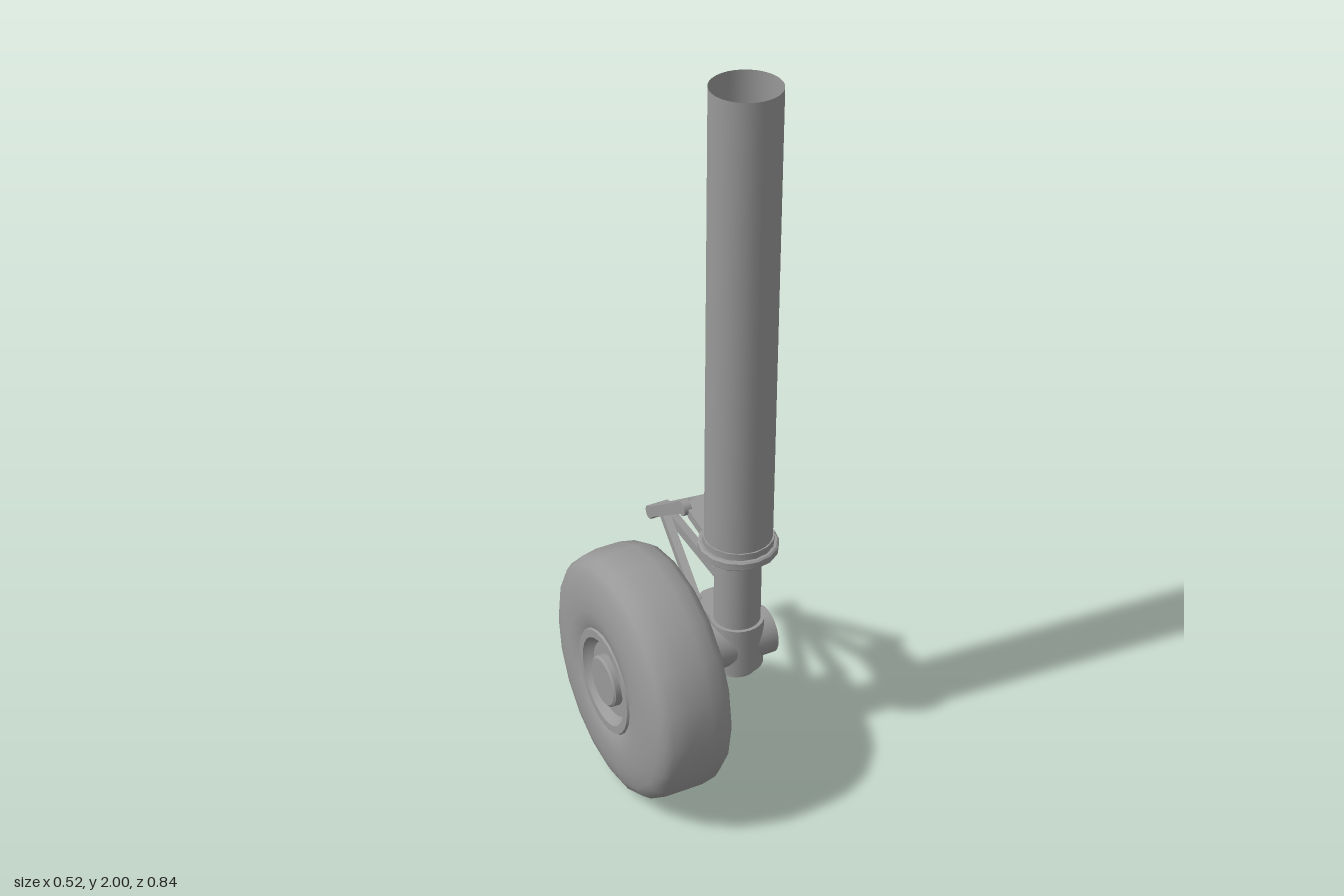
import * as THREE from 'three';
import { toCreasedNormals } from 'three/addons/utils/BufferGeometryUtils.js';

const SX = 0.15, SZ = 0.074; // strut axis
const WX = -0.137, WY = 0.346; // wheel centre
const GREY = 0x999999;

export function createModel() {
  const root = new THREE.Group();
  const mat = new THREE.MeshStandardMaterial({ color: GREY });
  const open = new THREE.MeshStandardMaterial({ color: GREY, side: THREE.DoubleSide });

  const add = (name, geo, parent = root, material = mat) => {
    const m = new THREE.Mesh(geo, material);
    m.name = name;
    parent.add(m);
    return m;
  };
  const lathe = (pts, seg, crease = 0.6) =>
    toCreasedNormals(new THREE.LatheGeometry(pts.map(p => new THREE.Vector2(...p)), seg), crease);
  // both faces of a wheel profile given from the inside outwards
  const mirrored = half => [...half.map(([r, y]) => [r, -y]), ...half.slice().reverse()];
  // upright cylinder on the strut axis
  const post = (name, r, y0, y1) =>
    add(name, new THREE.CylinderGeometry(r, r, y1 - y0, 28)).position.set(SX, (y0 + y1) / 2, SZ);
  // cylinder lying along x
  const pin = (name, r, x0, x1, y, z, parent = root, seg = 14) => {
    const m = add(name, new THREE.CylinderGeometry(r, r, x1 - x0, seg).rotateZ(Math.PI / 2), parent);
    m.position.set((x0 + x1) / 2, y, z);
  };

  // Strut: hollow outer tube, collar, sliding piston
  const tube = add('outerTube', new THREE.CylinderGeometry(0.092, 0.092, 1.32, 32, 1, true), root, open);
  tube.position.set(SX, 1.34, SZ);
  const collar = add('collar', lathe([[0, 0.652], [0.104, 0.652], [0.109, 0.657], [0.109, 0.676],
    [0.104, 0.68], [0.097, 0.68], [0.097, 0.7], [0, 0.7]], 16));
  collar.position.set(SX, 0, SZ);
  post('piston', 0.064, 0.4, 0.76);

  // Axle housing and axle
  post('axleHousing', 0.074, 0.278, 0.425);
  post('housingCap', 0.056, 0.255, 0.28);
  pin('axle', 0.067, -0.1, 0.244, 0.348, SZ, root, 28);

  // Wheel: tyre and rim turned around the axle
  const wheel = new THREE.Group();
  wheel.name = 'wheel';
  wheel.position.set(WX, WY, SZ);
  wheel.rotation.z = -Math.PI / 2;
  root.add(wheel);
  add('tyre', lathe(mirrored([[0.148, 0.112], [0.165, 0.12], [0.2, 0.1225], [0.25, 0.121],
    [0.3, 0.109], [0.324, 0.097], [0.338, 0.077], [0.346, 0.035]]), 20, 1), wheel);
  add('rim', lathe(mirrored([[0, 0.12], [0.066, 0.12], [0.072, 0.115], [0.072, 0.095], [0.105, 0.095],
    [0.118, 0.108], [0.124, 0.119], [0.146, 0.119], [0.152, 0.108]]), 28), wheel);

  // Lugs reaching back from the strut
  const lug = (name, yTop, thick, zEnd) => {
    const s = new THREE.Shape();
    s.moveTo(-0.064, SZ);
    s.lineTo(0.064, SZ);
    s.lineTo(0.064, -0.02);
    s.lineTo(0.055, zEnd + 0.04);
    s.quadraticCurveTo(0.045, zEnd, 0.015, zEnd);
    s.lineTo(-0.015, zEnd);
    s.quadraticCurveTo(-0.045, zEnd, -0.055, zEnd + 0.04);
    s.lineTo(-0.064, -0.02);
    const g = new THREE.ExtrudeGeometry(s, { depth: thick, bevelEnabled: false, curveSegments: 5 });
    add(name, g.rotateX(Math.PI / 2)).position.set(SX, yTop, 0);
  };
  lug('upperLug', 0.68, 0.027, -0.15);
  lug('lowerLug', 0.42, 0.032, -0.075);

  // Torque links: two V-shaped arms meeting at the rear pin
  const APEX_Y = 0.48, APEX_Z = -0.399;
  const link = (name, y, z, apexX) => {
    const g = new THREE.Group();
    g.name = name;
    root.add(g);
    for (const side of [-1, 1]) {
      const x = SX + side * 0.056;
      const a = new THREE.Vector3(x, y, z);
      const b = new THREE.Vector3(apexX + side * 0.004, APEX_Y, APEX_Z);
      const arm = add('linkArm', new THREE.BoxGeometry(0.023, 0.03, a.distanceTo(b)), g);
      arm.position.copy(a).lerp(b, 0.5);
      arm.lookAt(b);
      pin('linkEye', 0.021, x - 0.0115, x + 0.0115, y, z, g);
    }
    pin('apexEye', 0.02, apexX - 0.015, apexX + 0.015, APEX_Y, APEX_Z, g);
    pin('hingePin', 0.012, SX + 0.05, SX + 0.072, y, z, g);
    pin('hingeNut', 0.017, SX + 0.069, SX + 0.077, y, z, g, 8);
  };
  link('upperTorqueLink', 0.675, -0.127, 0.135);
  link('lowerTorqueLink', 0.407, -0.057, 0.169);
  pin('apexPin', 0.011, 0.125, 0.187, APEX_Y, APEX_Z);
  pin('apexNut', 0.016, 0.183, 0.191, APEX_Y, APEX_Z, root, 8);

  return root;
}
